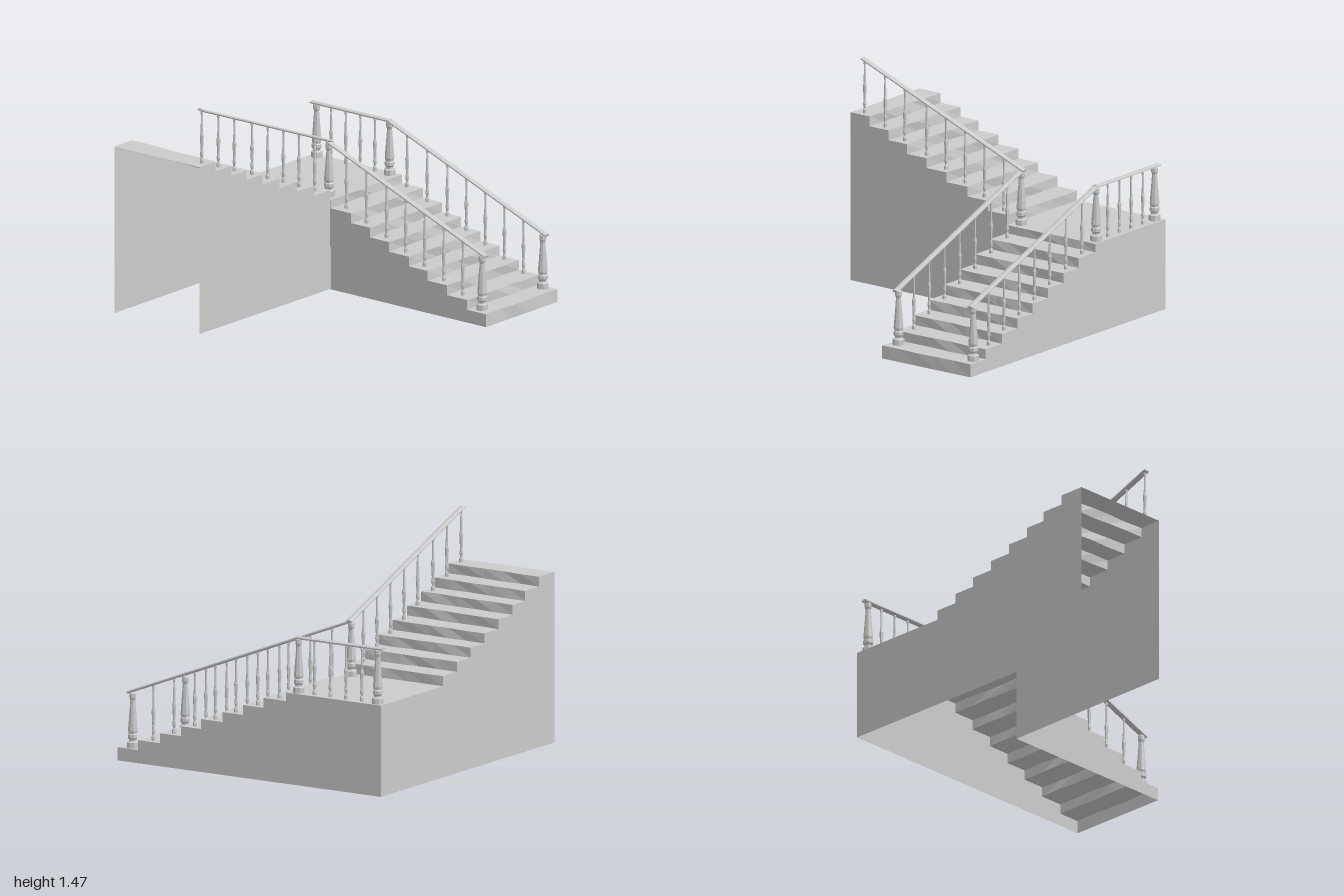
import * as THREE from 'three';

const mat = new THREE.MeshStandardMaterial({ color: 0xcccccc, flatShading: true, side: THREE.DoubleSide });

// Surface stretched across rows of points, each row having the same length
function loft(rows) {
  const pos = [];
  for (let r = 0; r < rows.length - 1; r++) {
    for (let i = 0; i < rows[r].length - 1; i++) {
      const a = rows[r][i], b = rows[r + 1][i], c = rows[r + 1][i + 1], d = rows[r][i + 1];
      pos.push(...a, ...b, ...c, ...a, ...c, ...d);
    }
  }
  const g = new THREE.BufferGeometry();
  g.setAttribute('position', new THREE.Float32BufferAttribute(pos, 3));
  g.computeVertexNormals();
  return g;
}

// Zigzag of [distance, height] pairs: a riser at each edge, then a tread
function zigzag(edges, end, y0, firstRise, rise) {
  const pts = [[edges[0], y0]];
  edges.forEach((e, i) => {
    const y = y0 + firstRise + rise * i;
    if (i > 0) pts.push([e, y - rise]);
    pts.push([e, y], );
  });
  pts.push([end, y0 + firstRise + rise * (edges.length - 1)]);
  return pts;
}

// Worn steps between two side profiles; place(t, y, s) maps them into space
function stepSurface(sideA, sideB, place) {
  const rows = [], n = 5;
  for (let k = 0; k <= n; k++) {
    const s = k / n;
    rows.push(sideA.map(([t, y], i) => {
      const inner = k > 0 && k < n && i > 0 && i < sideA.length - 1;
      const wear = inner ? 0.006 * Math.sin(i * 2.3 + k * 1.9) : 0;
      return place(t + (sideB[i][0] - t) * s + wear, y, s);
    }));
  }
  return loft(rows);
}

const sideWall = (profile, place) =>
  loft([profile.map(([t, y]) => place(t, y)), profile.map(([t]) => place(t, 0))]);

// Turned post profiles: [radius, height fraction]
const lathe = (pts, sides) =>
  new THREE.LatheGeometry(pts.map(([r, y]) => new THREE.Vector2(r, y)), sides);
const newelGeo = lathe([[0, 0], [0.037, 0], [0.037, 0.1], [0.024, 0.12], [0.024, 0.15], [0.032, 0.18],
  [0.032, 0.24], [0.026, 0.26], [0.031, 0.31], [0.016, 0.85], [0.022, 0.9], [0.022, 0.97], [0.015, 1], [0, 1]], 8);
const balusterGeo = lathe([[0.013, 0], [0.013, 0.06], [0.007, 0.1], [0.012, 0.17], [0.008, 0.25],
  [0.013, 0.52], [0.008, 0.58], [0.006, 0.9], [0.009, 0.95], [0.008, 1]], 6);

export function createModel() {
  const model = new THREE.Group();
  const add = (name, geo) => {
    const m = new THREE.Mesh(geo, mat);
    m.name = name;
    model.add(m);
    return m;
  };
  const post = (name, geo, x, z, bottom, top) => {
    const m = add(name, geo);
    m.position.set(x, bottom, z);
    m.scale.y = top - bottom;
  };
  // Flattened eight-sided handrail between two points
  const rail = (name, a, b) => {
    const from = new THREE.Vector3(...a), to = new THREE.Vector3(...b);
    const g = new THREE.CylinderGeometry(1, 1, from.distanceTo(to), 8);
    g.rotateX(Math.PI / 2).rotateZ(Math.PI / 8).scale(0.022, 0.01, 1);
    const m = add(name, g);
    m.position.lerpVectors(from, to, 0.5);
    m.lookAt(to);
  };

  const landingY = 0.59, inner = -0.28, depth = 0.99;

  // Lower flight, climbing towards -x and running on into the landing
  const lowerEdges = [1, 0.845, 0.68, 0.52, 0.366, 0.204, 0.048, -0.108];
  const lower = zigzag(lowerEdges, inner, 0, 0.085, 0.0643);
  lower.push([inner, landingY]);
  const lowerLanding = [...lower, [-1, landingY]];
  add('lowerStepsAndLanding', stepSurface(lowerLanding, lowerLanding,
    (x, y, s) => [x, y, -depth + s * (depth + inner)]));
  add('backWall', sideWall(lowerLanding, (x, y) => [x, y, -depth]));
  add('lowerFlightInnerWall', sideWall(lower, (x, y) => [x, y, inner]));

  // Upper flight, climbing towards +z, open at its high end
  const outerEdges = [inner, -0.123, 0.032, 0.19, 0.35, 0.51, 0.655, 0.815];
  const innerEdges = [inner, -0.123, 0.043, 0.212, 0.375, 0.533, 0.682, 0.835];
  const upperOuter = zigzag(outerEdges, depth, landingY, 0.065, 0.064);
  const upperInner = zigzag(innerEdges, depth, landingY, 0.065, 0.064);
  const innerX = (z) => -0.283 - 0.015 * (z - inner) / (depth - inner);
  add('upperSteps', stepSurface(upperOuter, upperInner,
    (z, y, s) => [-1 + s * (innerX(z) + 1), y, z]));
  add('outerWall', sideWall([[-depth, landingY], ...upperOuter], (z, y) => [-1, y, z]));
  add('upperFlightInnerWall', sideWall(upperInner, (z, y) => [innerX(z), y, z]));

  // Railings on both sides of the lower flight
  const railTop = 0.945, turn = -0.345, backZ = -0.945;
  const lowerRailY = (x) => railTop - 0.39 * (x - turn);
  for (const z of [turn, backZ]) {
    rail('lowerHandrail', [turn - 0.01, lowerRailY(turn - 0.01), z], [0.95, lowerRailY(0.95), z]);
    post('bottomNewel', newelGeo, 0.915, z, 0.085, lowerRailY(0.915) - 0.008);
    post('landingNewel', newelGeo, turn, z, landingY, railTop);
    [0.757, 0.6, 0.443, 0.287, 0.13, -0.035, -0.2].forEach((x, i) =>
      post('lowerBaluster', balusterGeo, x, z, 0.149 + 0.0643 * i, lowerRailY(x)));
  }

  // Level railing along the back of the landing
  rail('landingHandrail', [-0.985, railTop, backZ], [turn + 0.01, railTop, backZ]);
  post('cornerNewel', newelGeo, -0.945, backZ, landingY, railTop);
  for (let i = 1; i <= 4; i++) {
    post('landingBaluster', balusterGeo, turn - 0.12 * i, backZ, landingY, railTop);
  }

  // Railing on the inner side of the upper flight
  const upperRailY = (z) => 0.95 + 0.395 * (z + 0.36);
  rail('upperHandrail', [turn, upperRailY(-0.37), -0.37], [turn, upperRailY(0.93), 0.93]);
  [-0.205, -0.05, 0.105, 0.26, 0.415, 0.59, 0.748, 0.912].forEach((z, i) =>
    post('upperBaluster', balusterGeo, turn, z, 0.655 + 0.064 * i, upperRailY(z)));

  return model;
}
